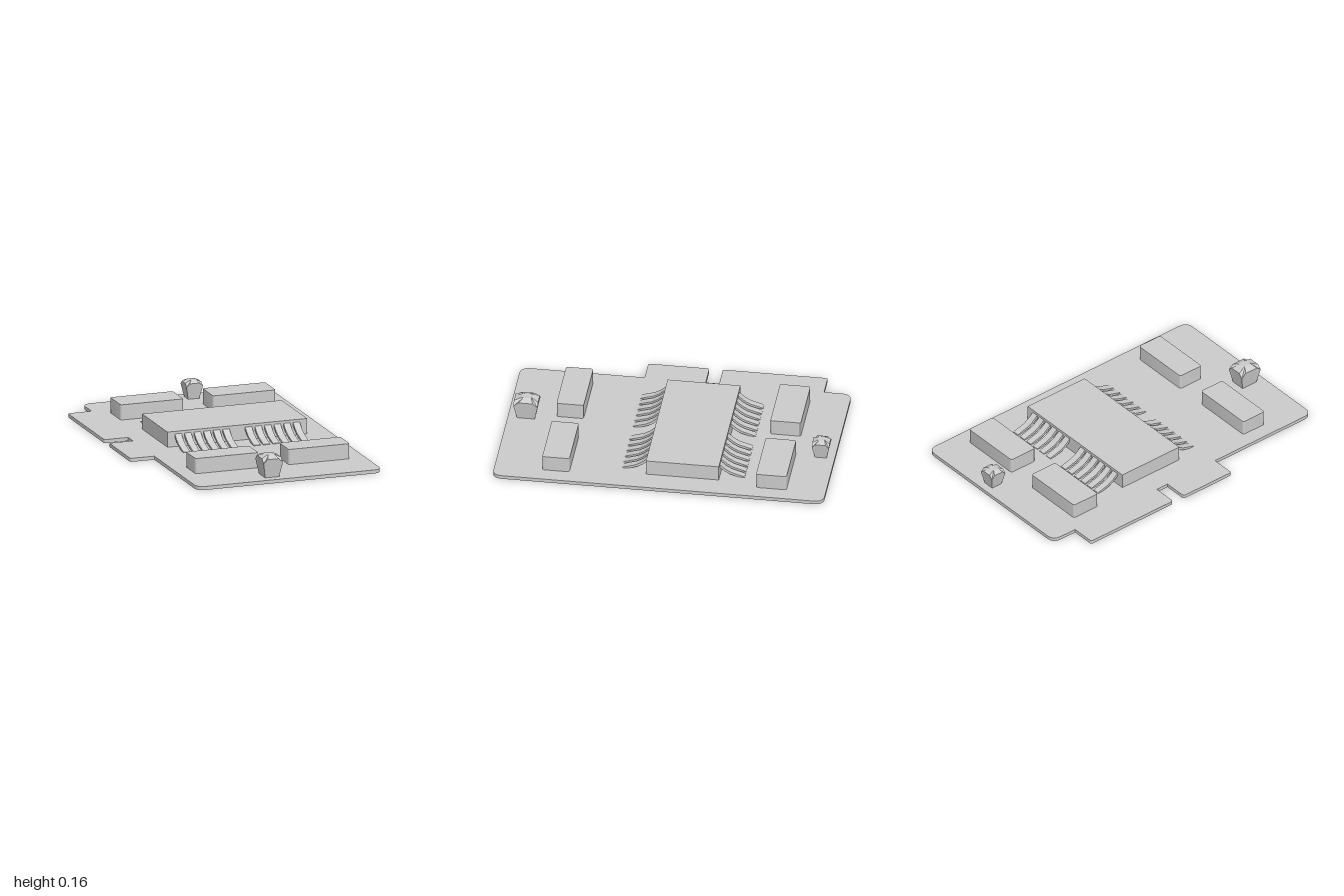
import * as THREE from 'three';
import { toCreasedNormals } from 'three/addons/utils/BufferGeometryUtils.js';

const BOARD_TOP = 0.022, CHIP_TOP = 0.116;
const material = new THREE.MeshStandardMaterial({ color: 0xcccccc });
const flatMaterial = new THREE.MeshStandardMaterial({ color: 0xcccccc, flatShading: true });

// Plan outline from [x, z, cornerRadius] points
function outline(points) {
  const shape = new THREE.Shape();
  const n = points.length;
  points.forEach(([x, z, r], i) => {
    const p = new THREE.Vector2(x, -z);
    const toward = ([qx, qz]) => new THREE.Vector2(qx, -qz).sub(p).setLength(r).add(p);
    const a = toward(points[(i + n - 1) % n]), b = toward(points[(i + 1) % n]);
    if (i === 0) shape.moveTo(a.x, a.y); else shape.lineTo(a.x, a.y);
    if (r > 0) shape.quadraticCurveTo(p.x, p.y, b.x, b.y);
  });
  shape.closePath();
  return shape;
}

// Upright slab with rounded plan corners
function slab(name, points, y0, y1) {
  let g = new THREE.ExtrudeGeometry(outline(points), { depth: y1 - y0, bevelEnabled: false, curveSegments: 8 });
  g.rotateX(-Math.PI / 2).translate(0, y0, 0);
  g = toCreasedNormals(g, 0.6);
  const mesh = new THREE.Mesh(g, material);
  mesh.name = name;
  return mesh;
}

function block(name, x0, x1, z0, z1, r) {
  return slab(name, [[x0, z1, r], [x1, z1, r], [x1, z0, r], [x0, z0, r]], BOARD_TOP - 0.002, CHIP_TOP);
}

// Bent pin: profile runs outward from the chip side, down to the board
function pinGeometry(width) {
  const s = new THREE.Shape();
  s.moveTo(-0.01, 0.103);
  s.lineTo(0, 0.1);
  s.lineTo(0.035, 0.07);
  s.lineTo(0.07, 0.05);
  s.lineTo(0.15, 0.026);
  s.lineTo(0.15, 0.02);
  s.lineTo(0.11, 0.024);
  s.lineTo(0.065, 0.036);
  s.lineTo(0.033, 0.053);
  s.lineTo(-0.01, 0.086);
  const g = new THREE.ExtrudeGeometry(s, { depth: width, bevelEnabled: false });
  return g.translate(0, 0, -width / 2).rotateY(-Math.PI / 2);
}

// Faceted lamp: square flared body, arched sides, small flat crown
function lamp(name, x, z, halfX, halfZ, taper, height) {
  const corners = [[1, 1], [-1, 1], [-1, -1], [1, -1]];
  const body = height - BOARD_TOP;
  const levels = [
    { size: taper, corner: BOARD_TOP - 0.002, mid: BOARD_TOP - 0.002 },
    { size: 1, corner: BOARD_TOP + body * 0.69, mid: BOARD_TOP + body * 0.88 },
    { size: 0.4, corner: height, mid: height },
  ];
  const pos = [], idx = [];
  for (const level of levels) {
    for (let c = 0; c < 4; c++) {
      const a = corners[c], b = corners[(c + 1) % 4];
      for (const t of [0, 0.2, 0.8]) {
        const u = a[0] + (b[0] - a[0]) * t, v = a[1] + (b[1] - a[1]) * t;
        pos.push(u * halfX * level.size, t ? level.mid : level.corner, -v * halfZ * level.size);
      }
    }
  }
  pos.push(0, height, 0);
  for (let i = 0; i < 12; i++) {
    const j = (i + 1) % 12;
    for (const k of [0, 12]) idx.push(k + i, k + j, k + 12 + j, k + i, k + 12 + j, k + 12 + i);
    idx.push(36, 24 + i, 24 + j);
  }
  const g = new THREE.BufferGeometry();
  g.setAttribute('position', new THREE.Float32BufferAttribute(pos, 3));
  g.setIndex(idx);
  const flat = g.toNonIndexed();
  flat.computeVertexNormals();
  const mesh = new THREE.Mesh(flat, flatMaterial);
  mesh.name = name;
  mesh.position.set(x, 0, z);
  return mesh;
}

export function createModel() {
  const group = new THREE.Group();
  group.name = 'circuitBoard';

  // Board with two connector tabs on its right edge
  group.add(slab('board', [
    [-0.513, 1, 0.06], [0.663, 1, 0.06], [0.663, -1, 0.06], [-0.513, -1, 0.06],
    [-0.513, -0.832, 0], [-0.665, -0.832, 0.015], [-0.665, -0.199, 0.015], [-0.513, -0.199, 0],
    [-0.513, -0.117, 0], [-0.665, -0.117, 0.015], [-0.665, 0.252, 0.015], [-0.513, 0.252, 0],
  ], 0, BOARD_TOP));

  // Main chip
  const chipBack = -0.348, chipFront = 0.092;
  group.add(block('mainChip', -0.37, 0.52, chipBack, chipFront, 0));

  // Four small chips
  group.add(block('backRightChip', -0.42, -0.02, -0.764, -0.58, 0.015));
  group.add(block('backLeftChip', 0.168, 0.567, -0.764, -0.58, 0.015));
  group.add(block('frontRightChip', -0.42, -0.02, 0.548, 0.712, 0.015));
  group.add(block('frontLeftChip', 0.174, 0.563, 0.548, 0.712, 0.015));

  // Two sets of six pins along each long side of the main chip
  const pins = new THREE.Group();
  pins.name = 'pins';
  const geometry = pinGeometry(0.042);
  for (const startX of [-0.302, 0.146]) {
    for (let i = 0; i < 6; i++) {
      for (const front of [true, false]) {
        const pin = new THREE.Mesh(geometry, flatMaterial);
        pin.name = front ? 'frontPin' : 'backPin';
        pin.position.set(startX + i * 0.061, 0, front ? chipFront : chipBack);
        if (!front) pin.rotation.y = Math.PI;
        pins.add(pin);
      }
    }
  }
  group.add(pins);

  // Lamps at both ends
  group.add(lamp('frontLamp', -0.017, 0.89, 0.061, 0.073, 0.73, 0.155));
  group.add(lamp('backLamp', 0.156, -0.916, 0.052, 0.052, 0.67, 0.135));
  return group;
}
